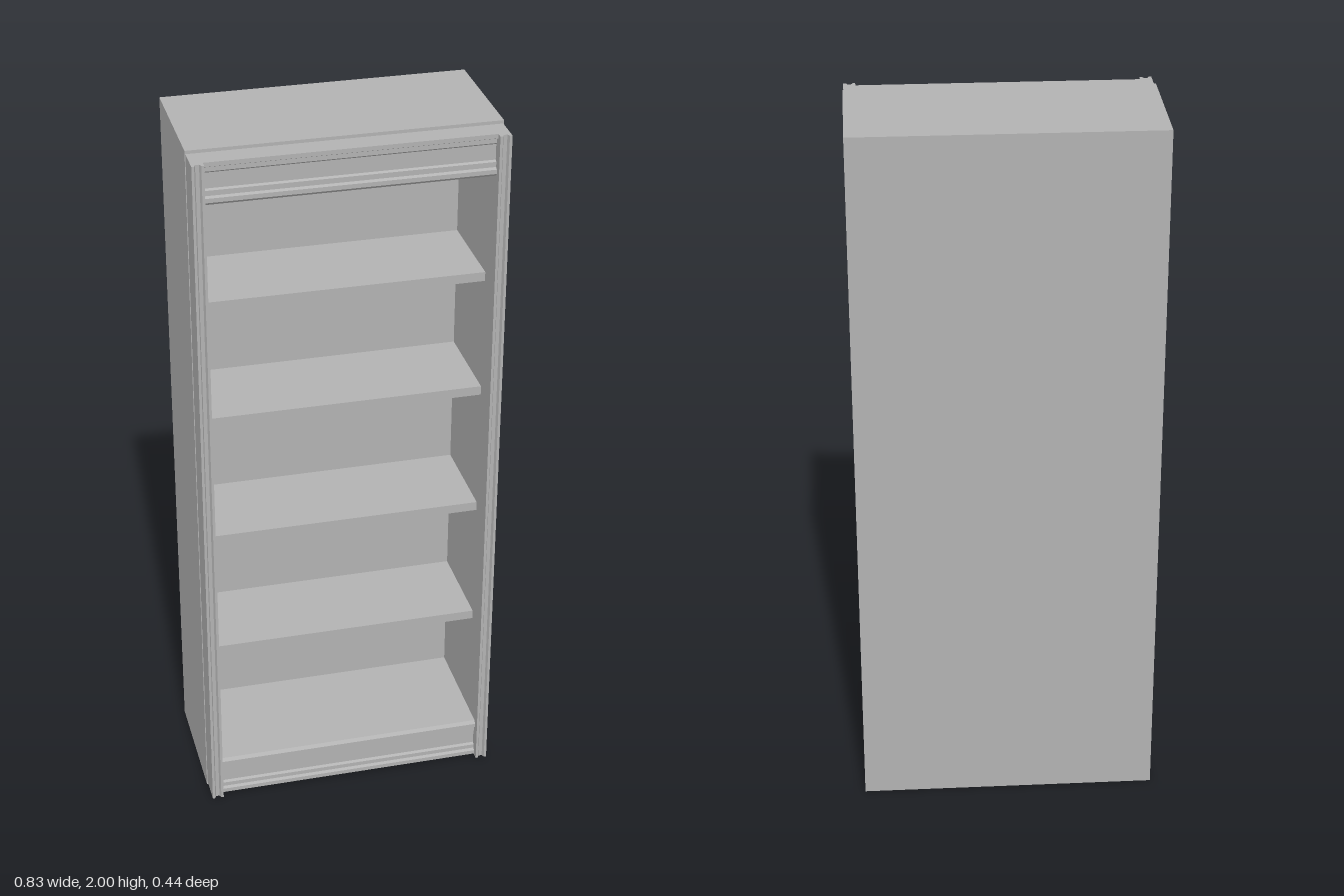
import * as THREE from 'three';

export function createModel() {
  const model = new THREE.Group();
  model.name = 'bookcase';
  const grey = new THREE.MeshStandardMaterial({ color: 0xb2b2b2 });
  grey.name = 'grey';

  const add = (name, geometry, x = 0, y = 0, z = 0) => {
    const mesh = new THREE.Mesh(geometry, grey);
    mesh.name = name;
    mesh.position.set(x, y, z);
    model.add(mesh);
    return mesh;
  };
  const polygon = (points) => new THREE.Shape(points.map(([x, y]) => new THREE.Vector2(x, y)));
  const extrude = (points, depth) =>
    new THREE.ExtrudeGeometry(polygon(points), { depth, bevelEnabled: false });

  const W = 0.414, IN = 0.38, BACK = -0.22, INNER_BACK = -0.13, FRONT = 0.138;
  const FLOOR = 0.13, CEILING = 1.873;

  // Carcass: four walls around the opening, closed by a thick back
  const outline = polygon([[-W, 0], [W, 0], [W, 2], [-W, 2]]);
  outline.holes.push(new THREE.Path([
    [-IN, FLOOR], [-IN, CEILING], [IN, CEILING], [IN, FLOOR],
  ].map(([x, y]) => new THREE.Vector2(x, y))));
  add('carcass', new THREE.ExtrudeGeometry(outline, { depth: FRONT - INNER_BACK, bevelEnabled: false }), 0, 0, INNER_BACK);
  add('backPanel', new THREE.BoxGeometry(2 * W, 2, INNER_BACK - BACK), 0, 1, (INNER_BACK + BACK) / 2);

  // Shelves
  for (const y of [0.47, 0.84, 1.212, 1.558]) {
    add('shelf', new THREE.BoxGeometry(2 * IN, 0.026, 0.265), 0, y, 0.0025);
  }

  // Stiles: grooved posts on both sides of the front
  const stileProfile = [
    [0.38, 0.138], [0.412, 0.138], [0.412, 0.218], [0.405, 0.218],
    [0.401, 0.209], [0.391, 0.209], [0.387, 0.218], [0.38, 0.218],
  ];
  for (const side of [-1, 1]) {
    const points = stileProfile.map(([x, z]) => [side * x, -z]);
    const geometry = extrude(points, 1.982);
    geometry.rotateX(-Math.PI / 2);
    add(side > 0 ? 'leftStile' : 'rightStile', geometry, 0, 0.009, 0);
  }

  // Moulded rails: profile as [depth, height from the outer end], mirrored top and bottom
  const railProfile = [
    [0.138, 0.012], [0.2, 0.012], [0.2, 0.024], [0.192, 0.028], [0.192, 0.04],
    [0.186, 0.045], [0.186, 0.088], [0.192, 0.092], [0.192, 0.106],
    [0.2, 0.11], [0.2, 0.122], [0.192, 0.13], [0.138, 0.13],
  ];
  for (const top of [false, true]) {
    const points = railProfile.map(([z, y]) => [-z, top ? 2.003 - y : y]);
    const geometry = extrude(points, 2 * IN);
    geometry.rotateY(Math.PI / 2);
    add(top ? 'topRail' : 'bottomRail', geometry, -IN, 0, 0);
  }
  return model;
}
